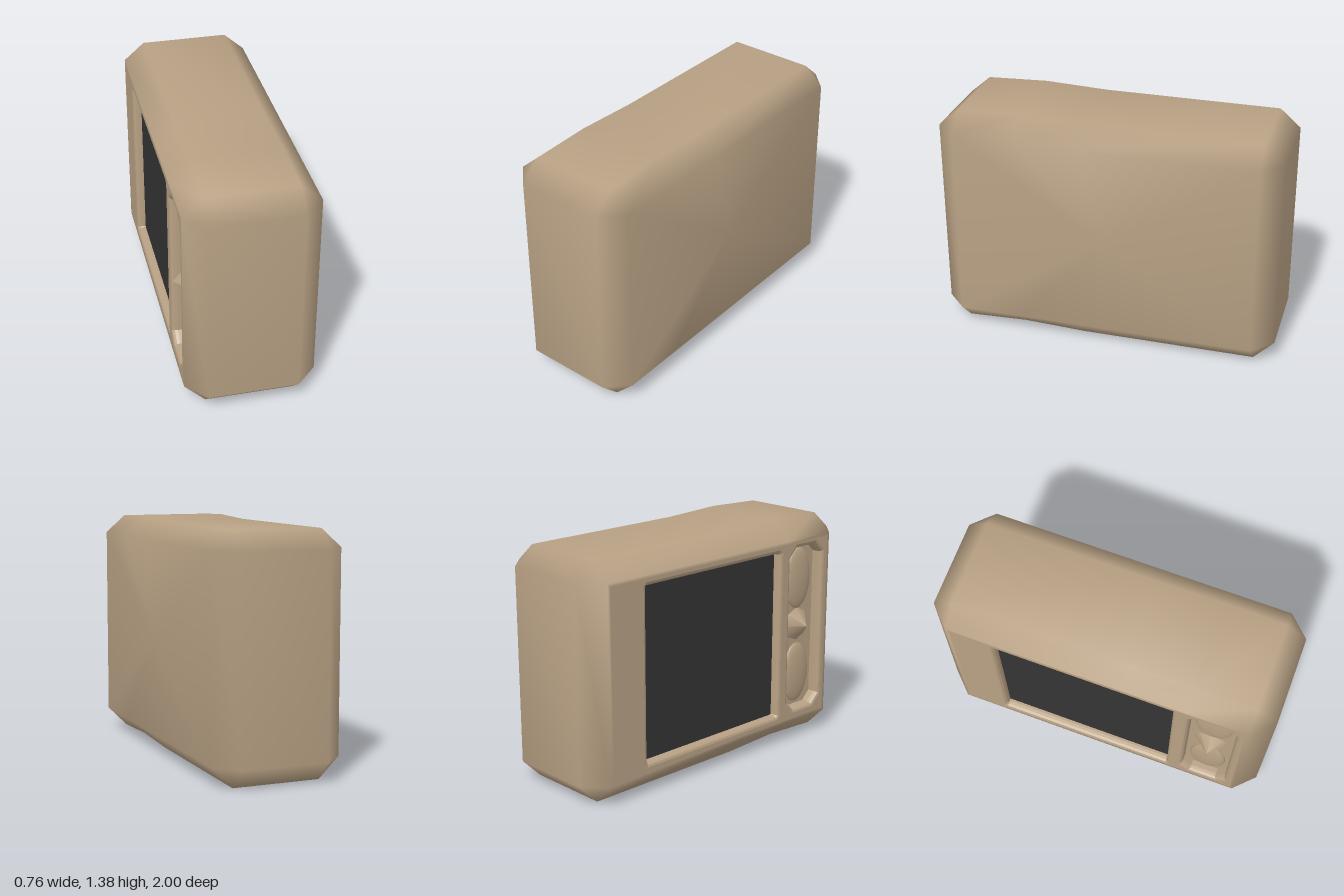
import * as THREE from 'three';
import { mergeVertices } from 'three/addons/utils/BufferGeometryUtils.js';

const H = 1.38, MID = H / 2;
const tan = new THREE.MeshStandardMaterial({ color: 0xb8a184, side: THREE.DoubleSide });
const dark = new THREE.MeshStandardMaterial({ color: 0x343434 });

// One cross-section of the case: half depth, half height, corner cut and sag
function section(x, hz, hy, cut, sag) {
  const ring = [
    [hz, -hy + cut], [hz, hy - cut], [hz - cut, hy - sag], [0.52, hy], [0.15, hy - sag], [-hz + cut, hy - sag],
    [-hz, hy - cut], [-hz, -hy + cut], [-hz + cut, -hy], [0.15, -hy], [0.52, -hy + sag], [hz - cut, -hy],
  ];
  return ring.map(([z, y]) => [x, MID + y, z]);
}

// Case shell, open where the face plate sits
function shellGeometry() {
  const rings = [
    section(0.37, 0.88, 0.57, 0, 0),
    section(0.25, 1, 0.69, 0.12, 0.015),
    section(-0.26, 1, 0.69, 0.12, 0.015),
    section(-0.38, 0.88, 0.57, 0, 0),
    section(-0.38, 0.86, 0.55, 0, 0),
  ];
  const n = rings[0].length, index = [];
  const points = [...rings.flat(), [0.37, MID, 0]];
  for (let j = 0; j < rings.length - 1; j++) {
    for (let i = 0; i < n; i++) {
      const k = (i + 1) % n;
      const a = j * n + i, b = j * n + k, c = b + n, d = a + n;
      index.push(a, b, c, a, c, d);
    }
  }
  for (let i = 0; i < n; i++) index.push(points.length - 1, (i + 1) % n, i);
  const geo = new THREE.BufferGeometry();
  geo.setAttribute('position', new THREE.Float32BufferAttribute(points.flat(), 3));
  geo.setIndex(index);
  const merged = mergeVertices(geo);
  merged.computeVertexNormals();
  return merged;
}

// Rectangle with cut corners in the (z, y) plane
function outline(target, z0, z1, y0, y1, c) {
  const pts = [[z0 + c, y0], [z1 - c, y0], [z1, y0 + c], [z1, y1 - c], [z1 - c, y1], [z0 + c, y1], [z0, y1 - c], [z0, y0 + c]];
  target.setFromPoints(pts.map(([z, y]) => new THREE.Vector2(z, y)));
  return target;
}

// Face plate with screen and control openings, rims sloping inward
function plateGeometry() {
  const shape = outline(new THREE.Shape(), -0.86, 0.86, MID - 0.55, MID + 0.55, 0.001);
  shape.holes.push(outline(new THREE.Path(), -0.63, 0.47, 0.16, 1.22, 0.02));
  shape.holes.push(outline(new THREE.Path(), 0.52, 0.84, 0.17, 1.23, 0.07));
  const geo = new THREE.ExtrudeGeometry(shape, {
    depth: 0.04, bevelEnabled: true, bevelThickness: 0.035, bevelSize: 0.025, bevelSegments: 3,
  });
  geo.translate(0, 0, 0.305);
  geo.rotateY(-Math.PI / 2);
  return geo;
}

export function createModel() {
  const model = new THREE.Group();
  const add = (name, geo, mat, x = 0, y = 0, z = 0) => {
    const mesh = new THREE.Mesh(geo, mat);
    mesh.name = name;
    mesh.position.set(x, y, z);
    model.add(mesh);
    return mesh;
  };

  add('case', shellGeometry(), tan);
  add('facePlate', plateGeometry(), tan);

  // Dark screen and control panel set back in their openings
  add('screen', new THREE.BoxGeometry(0.05, 1.05, 1.09), dark, -0.305, 0.69, -0.08);
  add('controlPanel', new THREE.BoxGeometry(0.05, 1.05, 0.34), tan, -0.285, 0.7, 0.68);

  // Two oval dials above and below a pointed knob
  for (const [name, y] of [['upperDial', 1.0], ['lowerDial', 0.4]]) {
    add(name, new THREE.SphereGeometry(1, 20, 12), tan, -0.31, y, 0.68).scale.set(0.03, 0.19, 0.11);
  }
  const knob = add('knob', new THREE.ConeGeometry(0.12, 0.1, 8), tan, -0.345, 0.71, 0.68);
  knob.rotation.z = Math.PI / 2;

  return model;
}
